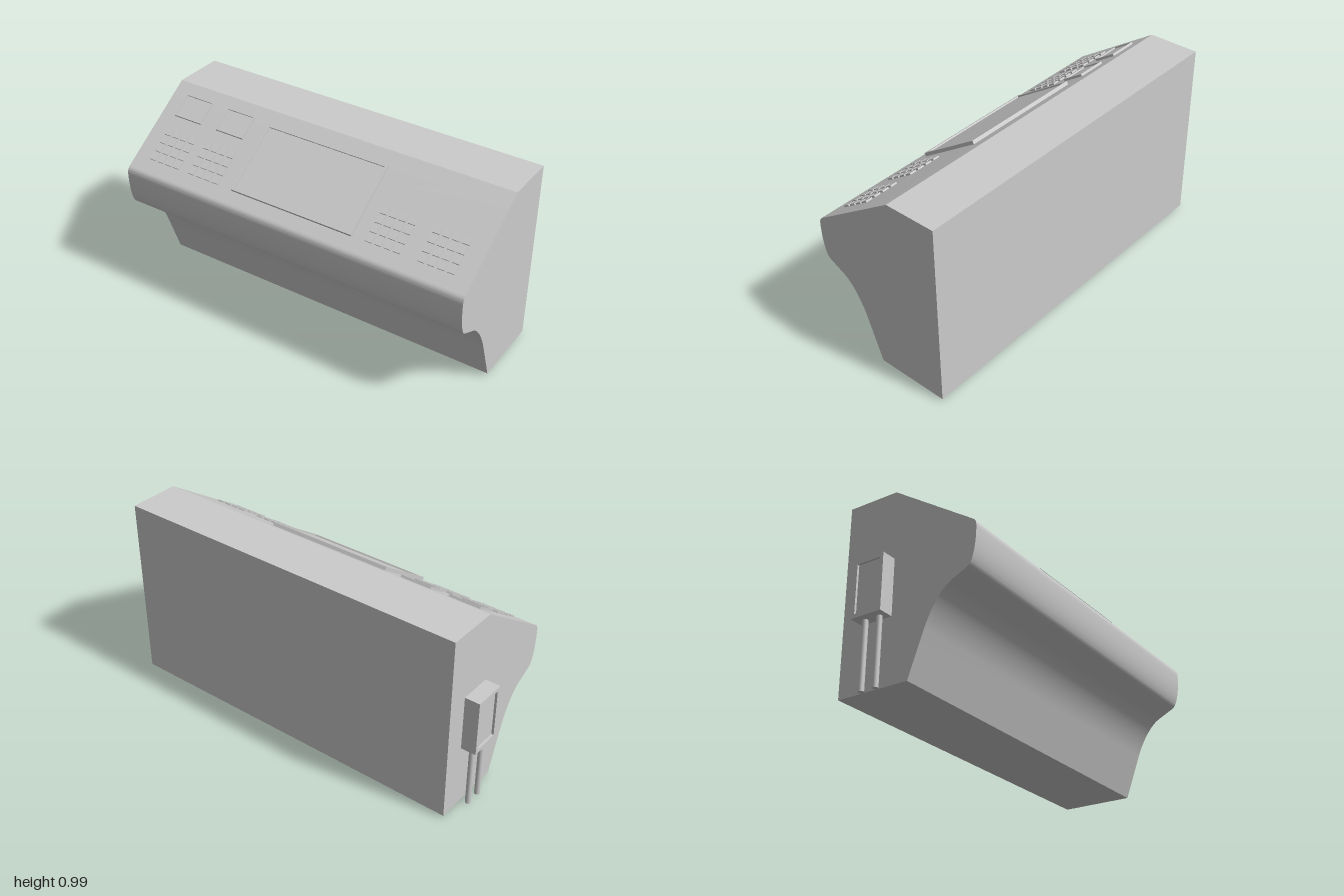
import * as THREE from 'three';
import { toCreasedNormals } from 'three/addons/utils/BufferGeometryUtils.js';

const grey = new THREE.MeshStandardMaterial({ color: 0xcccccc });

function add(parent, name, geometry, x = 0, y = 0, z = 0) {
  const mesh = new THREE.Mesh(geometry, grey);
  mesh.name = name;
  mesh.position.set(x, y, z);
  parent.add(mesh);
  return mesh;
}

// Rectangular rim with a sunken face; back at z = 0, facing +z
function framedPanel(name, w, h, depth, rim, sink) {
  const group = new THREE.Group();
  group.name = name;
  const rect = (Type, a, b) => new Type([
    new THREE.Vector2(-a / 2, -b / 2), new THREE.Vector2(a / 2, -b / 2),
    new THREE.Vector2(a / 2, b / 2), new THREE.Vector2(-a / 2, b / 2),
  ]);
  const shape = rect(THREE.Shape, w, h);
  shape.holes.push(rect(THREE.Path, w - 2 * rim, h - 2 * rim));
  add(group, name + 'Frame', new THREE.ExtrudeGeometry(shape, { depth, bevelEnabled: false }));
  const d = depth - sink;
  add(group, name + 'Face', new THREE.BoxGeometry(w - 2 * rim, h - 2 * rim, d), 0, 0, d / 2);
  return group;
}

// Side profile, drawn with -z as the shape's x, swept along the width
function cabinetGeometry() {
  const s = new THREE.Shape();
  s.moveTo(0.367, 0.01);
  s.lineTo(0.367, 0.992);
  s.lineTo(0.095, 0.992);
  s.lineTo(-0.35, 0.697);
  s.quadraticCurveTo(-0.367, 0.686, -0.367, 0.655);
  s.bezierCurveTo(-0.367, 0.59, -0.36, 0.535, -0.345, 0.498);
  s.quadraticCurveTo(-0.337, 0.477, -0.32, 0.468);
  s.lineTo(-0.235, 0.426);
  s.bezierCurveTo(-0.18, 0.396, -0.13, 0.315, -0.1, 0.232);
  s.lineTo(-0.02, 0.01);
  s.closePath();
  const g = new THREE.ExtrudeGeometry(s, { depth: 1.922, bevelEnabled: false, curveSegments: 14 });
  g.rotateY(Math.PI / 2);
  g.translate(-0.922, 0, 0);
  return toCreasedNormals(g, 0.42);
}

export function createModel() {
  const model = new THREE.Group();
  model.name = 'controlConsole';
  add(model, 'cabinet', cabinetGeometry());

  // Sloping panel: local y runs up the slope, local z points out of it
  const slope = new THREE.Group();
  slope.name = 'slopedPanel';
  slope.position.set(0, 0.697, 0.35);
  slope.rotation.x = -Math.atan2(0.445, 0.295);
  model.add(slope);

  const screen = framedPanel('mainScreen', 0.69, 0.384, 0.018, 0.014, 0.008);
  screen.position.set(0.035, 0.26, 0);
  slope.add(screen);

  for (const x of [-0.752, -0.488]) {
    const display = framedPanel('smallDisplay', 0.166, 0.13, 0.012, 0.005, 0.007);
    display.position.set(x, 0.4, 0);
    slope.add(display);
  }

  // Four keypads of 4 x 4 buttons
  const button = new THREE.BoxGeometry(0.037, 0.039, 0.008);
  for (const x of [-0.738, -0.492, 0.543, 0.818]) {
    const keypad = new THREE.Group();
    keypad.name = 'keypad';
    keypad.position.set(x, 0.166, 0.004);
    for (let i = 0; i < 4; i++)
      for (let j = 0; j < 4; j++)
        add(keypad, 'button', button, (i - 1.5) * 0.05, (j - 1.5) * 0.05, 0);
    slope.add(keypad);
  }

  // Junction box on the side, with two pipes to the floor
  const box = framedPanel('junctionBox', 0.17, 0.29, 0.078, 0.02, 0.012);
  box.position.set(-0.922, 0.49, -0.17);
  box.rotation.y = -Math.PI / 2;
  model.add(box);
  const pipe = new THREE.CylinderGeometry(0.014, 0.014, 0.35, 20);
  for (const z of [-0.127, -0.207]) add(model, 'pipe', pipe, -0.954, 0.175, z);

  return model;
}
